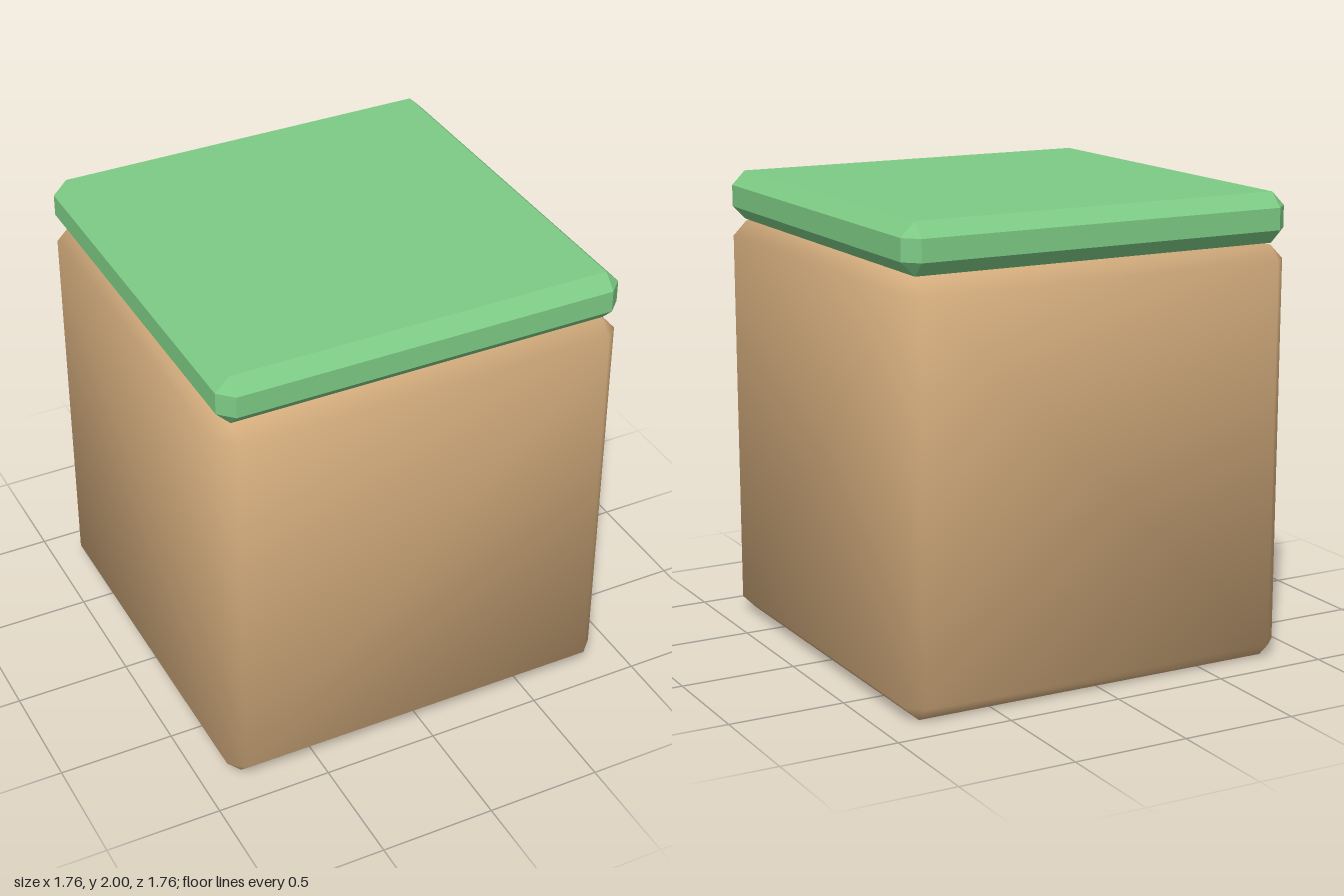
import * as THREE from 'three';
import { ConvexGeometry } from 'three/addons/geometries/ConvexGeometry.js';

// Box with every edge and corner cut by a bevel; soft blends the normals over the bevels
function bevelledBox(half, bevel, soft) {
  const points = [];
  for (const sx of [-1, 1]) for (const sy of [-1, 1]) for (const sz of [-1, 1]) {
    const sign = [sx, sy, sz];
    // each corner becomes three points, one on each adjoining face
    for (let face = 0; face < 3; face++) {
      const c = sign.map((s, axis) => s * (half[axis] - (axis === face ? 0 : bevel)));
      points.push(new THREE.Vector3(...c));
    }
  }
  const geometry = new ConvexGeometry(points);
  if (soft) {
    const pos = geometry.attributes.position;
    const normal = geometry.attributes.normal;
    const n = new THREE.Vector3();
    for (let i = 0; i < pos.count; i++) {
      const c = [pos.getX(i), pos.getY(i), pos.getZ(i)];
      // the face a point lies on weighs most in its normal
      n.set(...c.map((v, axis) => Math.sign(v) * (Math.abs(v) > half[axis] - bevel / 2 ? 2.4 : 1)));
      n.normalize();
      normal.setXYZ(i, n.x, n.y, n.z);
    }
  }
  return geometry;
}

function addPart(group, name, color, bottom, top, bevel, soft) {
  const half = [0.882, (top - bottom) / 2, 0.882];
  const mesh = new THREE.Mesh(
    bevelledBox(half, bevel, soft),
    new THREE.MeshStandardMaterial({ color, flatShading: !soft })
  );
  mesh.name = name;
  mesh.position.y = (top + bottom) / 2;
  group.add(mesh);
}

export function createModel() {
  const group = new THREE.Group();
  group.name = 'groundBlock';

  // Tall earth cube
  addPart(group, 'earthBlock', 0xd2ab7c, 0, 1.78, 0.062, true);
  // Thin grass slab resting just above it
  addPart(group, 'grassSlab', 0x7dcb85, 1.787, 2, 0.06, false);

  return group;
}
